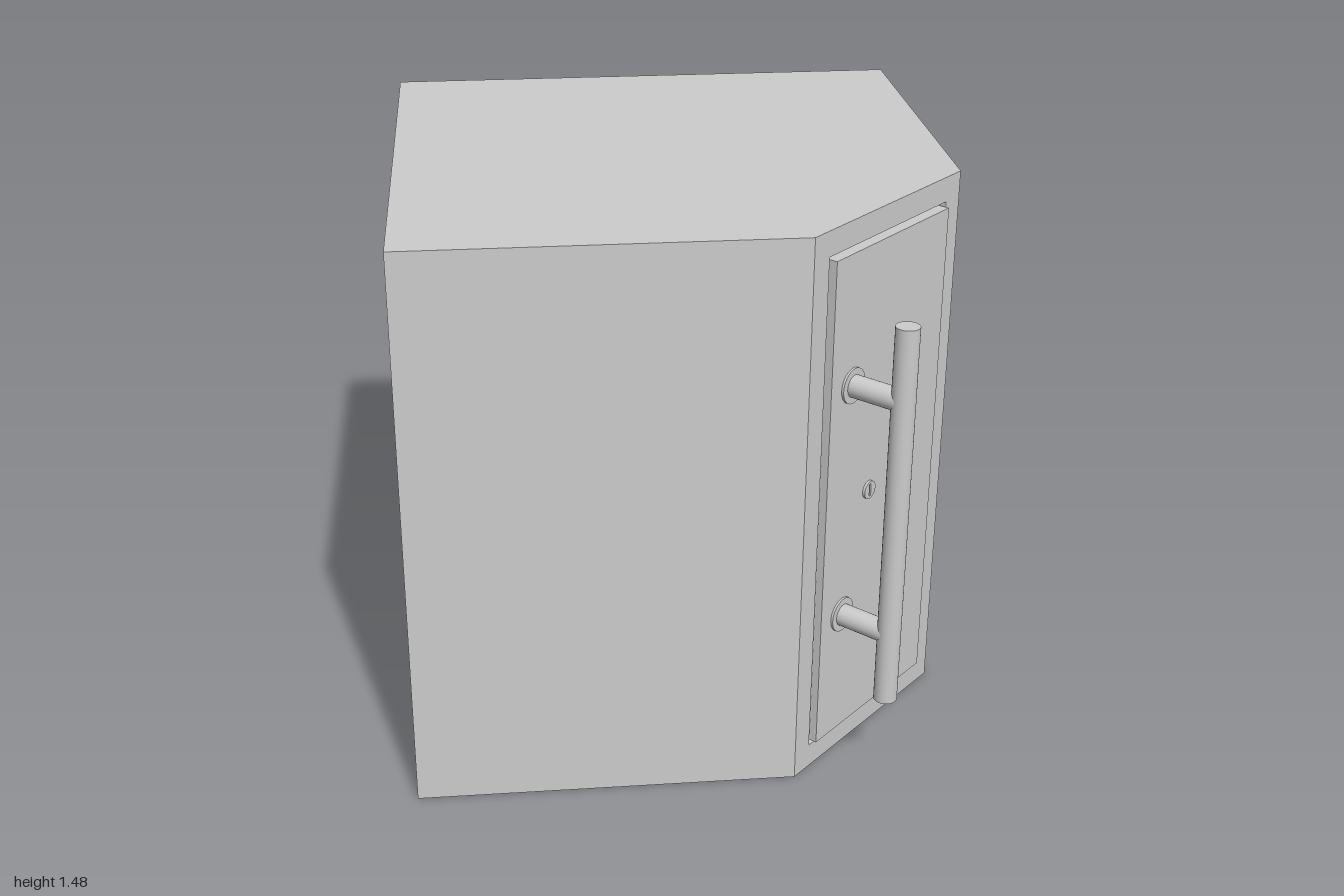
import * as THREE from 'three';

const H = 1.48, FRONT = 0.745, DOOR_FRONT = 0.76;
const material = new THREE.MeshStandardMaterial({ color: 0xcccccc });

function add(parent, name, geometry, x = 0, y = 0, z = 0, mat = material) {
  const mesh = new THREE.Mesh(geometry, mat);
  mesh.name = name;
  mesh.position.set(x, y, z);
  parent.add(mesh);
  return mesh;
}

// Cylinder lying along z, from z0 to z1
function rod(parent, name, r, x, y, z0, z1) {
  const g = new THREE.CylinderGeometry(r, r, z1 - z0, 32).rotateX(Math.PI / 2);
  return add(parent, name, g, x, y, (z0 + z1) / 2);
}

function rectangle(w, h, PathType) {
  return new PathType([[-w, -h], [w, -h], [w, h], [-w, h]].map(([x, y]) => new THREE.Vector2(x / 2, y / 2)));
}

function createCabinet() {
  const cabinet = new THREE.Group();
  cabinet.name = 'cabinet';

  // Square plan with the front corner cut off, as [x, z]
  const plan = [[0.315, FRONT], [1, 0.06], [0, -0.935], [-1, 0.06], [-0.315, FRONT]];
  const outline = new THREE.Shape(plan.map(([x, z]) => new THREE.Vector2(x, -z)));
  add(cabinet, 'top', new THREE.ShapeGeometry(outline).rotateX(-Math.PI / 2), 0, H, 0);
  const base = new THREE.Shape(plan.map(([x, z]) => new THREE.Vector2(x, z)));
  add(cabinet, 'bottom', new THREE.ShapeGeometry(base).rotateX(Math.PI / 2));

  // Four side walls facing outward
  for (let i = 0; i < 4; i++) {
    const [ax, az] = plan[i], [bx, bz] = plan[i + 1];
    const wall = new THREE.PlaneGeometry(Math.hypot(bx - ax, bz - az), H);
    const mesh = add(cabinet, 'sideWall', wall, (ax + bx) / 2, H / 2, (az + bz) / 2);
    mesh.rotation.y = Math.atan2(az - bz, bx - ax);
  }

  // Front frame with a shallow recess around the door
  const w = 0.508, h = 1.35, depth = 0.03;
  const frame = rectangle(0.63, H, THREE.Shape);
  frame.holes.push(rectangle(w, h, THREE.Path));
  add(cabinet, 'frontFrame', new THREE.ShapeGeometry(frame), 0, H / 2, FRONT);
  add(cabinet, 'recessBack', new THREE.PlaneGeometry(w, h), 0, H / 2, FRONT - depth);
  for (const s of [-1, 1]) {
    add(cabinet, 'recessSide', new THREE.PlaneGeometry(depth, h).rotateY(-s * Math.PI / 2),
      s * w / 2, H / 2, FRONT - depth / 2);
    add(cabinet, 'recessEnd', new THREE.PlaneGeometry(w, depth).rotateX(s * Math.PI / 2),
      0, H / 2 + s * h / 2, FRONT - depth / 2);
  }
  return cabinet;
}

function createDoor() {
  const door = new THREE.Group();
  door.name = 'door';
  add(door, 'doorPanel', new THREE.BoxGeometry(0.488, 1.33, 0.045), 0, H / 2, DOOR_FRONT - 0.0225);

  // Bar handle on two posts with thin mounting discs
  const x = -0.155, barZ = 0.905;
  add(door, 'handleBar', new THREE.CylinderGeometry(0.03, 0.03, 1.025, 32), x, 0.742, barZ);
  for (const y of [0.422, 1.062]) {
    rod(door, 'handlePost', 0.029, x, y, DOOR_FRONT, barZ);
    rod(door, 'postDisc', 0.046, x, y, DOOR_FRONT - 0.002, DOOR_FRONT + 0.006);
  }

  // Round lock with a vertical key slot
  const lock = new THREE.Shape().absarc(0, 0, 0.024, 0, Math.PI * 2);
  lock.holes.push(rectangle(0.007, 0.034, THREE.Path));
  add(door, 'lock', new THREE.ExtrudeGeometry(lock, { depth: 0.008, bevelEnabled: false, curveSegments: 24 }),
    -0.06, 0.742, DOOR_FRONT - 0.001);
  return door;
}

export function createModel() {
  const model = new THREE.Group();
  model.name = 'cornerCabinet';
  model.add(createCabinet(), createDoor());
  return model;
}
